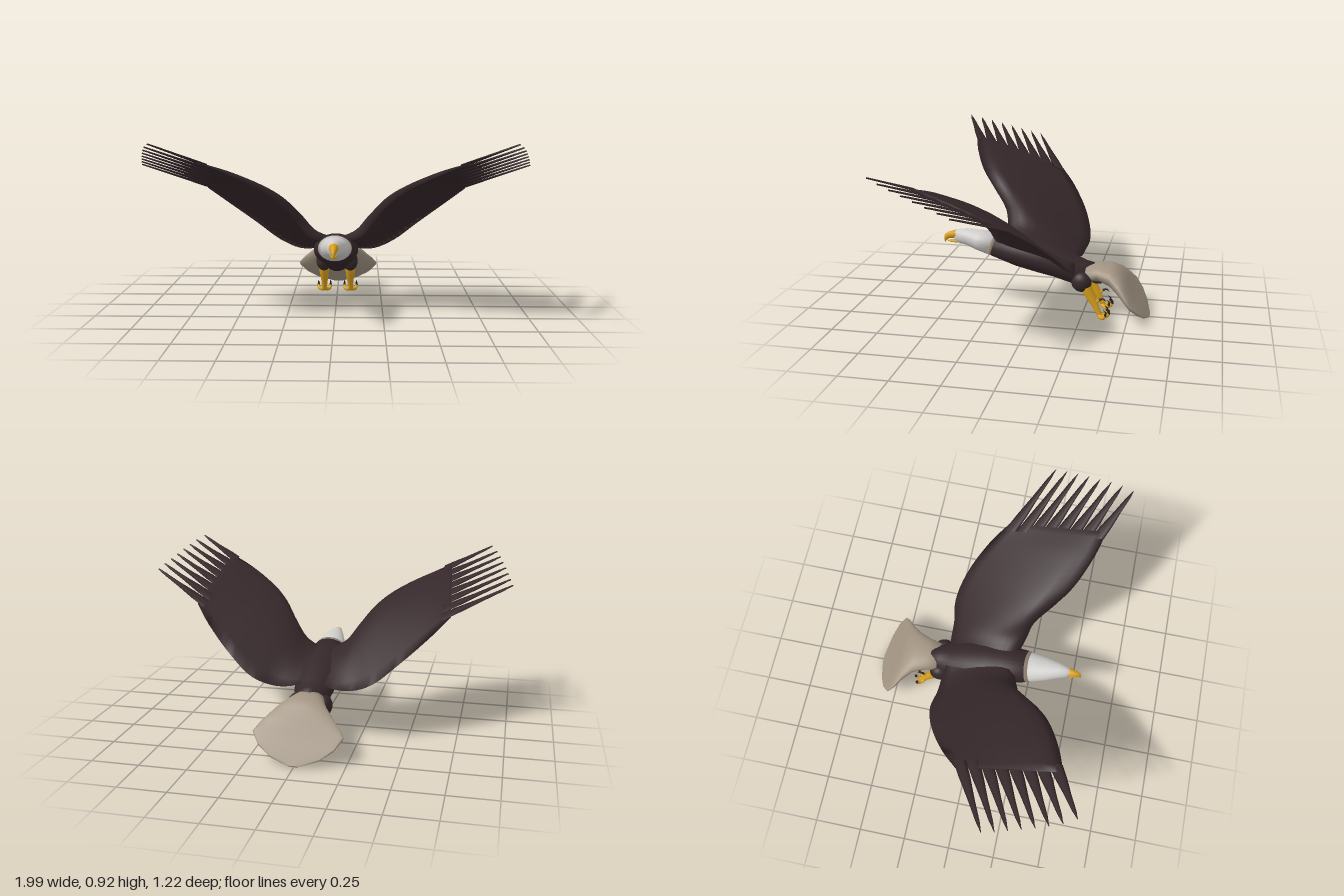
import * as THREE from 'three';

const mat = (name, color, side = THREE.FrontSide) => {
  const m = new THREE.MeshStandardMaterial({ color, side });
  m.name = name;
  return m;
};
const V = (x, y, z) => new THREE.Vector3(x, y, z);

// Closed skin over a list of equal-length rings, capped at both ends
function loft(rings, flip = false) {
  const n = rings[0].length, pos = [], idx = [];
  const tri = (a, b, c) => (flip ? idx.push(a, c, b) : idx.push(a, b, c));
  rings.forEach(r => r.forEach(p => pos.push(p.x, p.y, p.z)));
  for (let i = 0; i < rings.length - 1; i++)
    for (let j = 0; j < n; j++) {
      const k = (j + 1) % n, a = i * n, b = a + n;
      tri(a + j, a + k, b + j);
      tri(a + k, b + k, b + j);
    }
  [0, rings.length - 1].forEach((i, end) => {
    const c = rings[i].reduce((s, p) => s.add(p), V(0, 0, 0)).divideScalar(n);
    const ci = pos.length / 3;
    pos.push(c.x, c.y, c.z);
    for (let j = 0; j < n; j++) {
      const k = (j + 1) % n;
      end ? tri(ci, i * n + j, i * n + k) : tri(ci, i * n + k, i * n + j);
    }
  });
  const g = new THREE.BufferGeometry();
  g.setAttribute('position', new THREE.Float32BufferAttribute(pos, 3));
  g.setIndex(idx);
  g.computeVertexNormals();
  return g;
}

// Oval section: top z/y, bottom z/y, half width, height of the side edge
function oval([zt, yt, zb, yb, w, ye = (yt + yb) / 2], n = 28) {
  return Array.from({ length: n }, (_, j) => {
    const a = (j / n) * Math.PI * 2, c = Math.cos(a);
    const y = ye + (c > 0 ? (yt - ye) * c : (ye - yb) * c);
    return V(w * Math.sin(a), y, THREE.MathUtils.lerp(zb, zt, (1 + c) / 2));
  });
}
const ovals = list => loft(list.map(s => oval(s)));

// Wing-like section between a leading point L and a rear point R
const UP = V(-0.45, 0.85, 0.1);
function foil(L, R, camber, thick, side, n) {
  const ring = [];
  const add = (t, s) => {
    const h = 2.6 * Math.sqrt(t) * (1 - t);
    const p = L.clone().lerp(R, t).addScaledVector(UP, h * (camber + s * thick));
    p.x *= side;
    ring.push(p);
  };
  for (let i = 0; i <= n; i++) add(i / n, 1);
  for (let i = n - 1; i > 0; i--) add(i / n, -1);
  return ring;
}

// Tube whose radius runs from r0 to r1
function taperTube(points, r0, r1, seg = 14, rad = 8) {
  const curve = new THREE.CatmullRomCurve3(points);
  const g = new THREE.TubeGeometry(curve, seg, 1, rad);
  const p = g.attributes.position, v = V(0, 0, 0);
  for (let i = 0; i < p.count; i++) {
    const u = Math.floor(i / (rad + 1)) / seg, c = curve.getPointAt(u);
    v.fromBufferAttribute(p, i).sub(c).multiplyScalar(r0 + (r1 - r0) * u).add(c);
    p.setXYZ(i, v.x, v.y, v.z);
  }
  return g;
}

export function createModel() {
  const model = new THREE.Group();
  model.name = 'eagle';
  const brown = mat('dark brown plumage', 0x35272a);
  const white = mat('white head', 0xcfcdca);
  const tan = mat('pale tan feathers', 0xa39583);
  const yellow = mat('yellow skin', 0xd9a01c);
  const black = mat('dark claws', 0x2a2422);
  const add = (name, g, m, parent = model) => {
    const mesh = new THREE.Mesh(g, m);
    mesh.name = name;
    parent.add(mesh);
    return mesh;
  };

  // Head, neck border and body
  const neckA = [0.235, 0.428, 0.28, 0.303, 0.083], neckB = [0.215, 0.425, 0.26, 0.298, 0.088];
  add('head', ovals([
    [0.478, 0.42, 0.465, 0.362, 0.018], [0.44, 0.432, 0.45, 0.355, 0.032],
    [0.4, 0.437, 0.4, 0.345, 0.046], [0.33, 0.432, 0.34, 0.322, 0.066], neckA]), white);
  add('neckBorder', ovals([neckA, neckB]), tan);
  add('body', ovals([
    neckB, [0.1, 0.415, 0.12, 0.25, 0.11], [0, 0.4, 0, 0.222, 0.12],
    [-0.1, 0.37, -0.1, 0.2, 0.115], [-0.2, 0.32, -0.2, 0.168, 0.098],
    [-0.26, 0.298, -0.25, 0.14, 0.078], [-0.31, 0.288, -0.28, 0.17, 0.045]]), brown);

  // Open hooked beak
  add('upperBeak', ovals([
    [0.532, 0.375, 0.526, 0.352, 0.003], [0.528, 0.395, 0.516, 0.366, 0.009],
    [0.508, 0.412, 0.5, 0.378, 0.015], [0.465, 0.426, 0.455, 0.378, 0.024]]), yellow);
  add('lowerBeak', ovals([
    [0.512, 0.366, 0.51, 0.36, 0.004], [0.49, 0.369, 0.49, 0.355, 0.012],
    [0.45, 0.37, 0.45, 0.354, 0.02]]), yellow);

  // Fan tail, with the dark patch below its base
  add('tail', ovals([
    [-0.27, 0.284, -0.26, 0.18, 0.08], [-0.33, 0.288, -0.33, 0.2, 0.092],
    [-0.4, 0.284, -0.4, 0.172, 0.122, 0.235], [-0.45, 0.262, -0.45, 0.132, 0.165, 0.2],
    [-0.49, 0.205, -0.49, 0.1, 0.21, 0.165], [-0.52, 0.15, -0.52, 0.075, 0.232, 0.138],
    [-0.56, 0.093, -0.56, 0.044, 0.195, 0.09], [-0.59, 0.046, -0.59, 0.02, 0.13, 0.045],
    [-0.614, 0.012, -0.612, 0.004, 0.03]]), tan);
  const patch = add('underTailPatch', new THREE.SphereGeometry(1, 20, 12), brown);
  patch.position.set(0, 0.2, -0.33);
  patch.scale.set(0.055, 0.025, 0.045);

  // Leading and rear edges of a wing, root to wrist
  const lead = new THREE.CatmullRomCurve3([V(0.05, 0.38, 0.17), V(0.14, 0.42, 0.2), V(0.2, 0.5, 0.225),
    V(0.28, 0.605, 0.315), V(0.37, 0.68, 0.395), V(0.52, 0.765, 0.47), V(0.65, 0.825, 0.51)]);
  const rear = new THREE.CatmullRomCurve3([V(0.05, 0.3, -0.21), V(0.12, 0.28, -0.22), V(0.21, 0.28, -0.225),
    V(0.32, 0.325, -0.24), V(0.45, 0.43, -0.2), V(0.6, 0.56, -0.1), V(0.69, 0.645, -0.01)]);

  [1, -1].forEach(side => {
    const label = side > 0 ? 'left' : 'right', flip = side > 0;
    const wing = new THREE.Group();
    wing.name = label + 'Wing';
    model.add(wing);
    const rings = [];
    for (let i = 0; i <= 24; i++) {
      const u = i / 24;
      rings.push(foil(lead.getPoint(u), rear.getPoint(u),
        0.012 + 0.045 * Math.sin(Math.PI * u), 0.006 + 0.026 * (1 - u), side, 10));
    }
    add('wingBlade', loft(rings, flip), brown, wing);

    // Eight spread flight feathers
    const L = lead.getPoint(1), R = rear.getPoint(1), dir = R.clone().sub(L).normalize();
    for (let k = 0; k < 8; k++) {
      const f = k / 7;
      const base = L.clone().lerp(R, 0.05 + 0.89 * f).add(V(-0.04, -0.012, -0.018));
      const tip = V(0.865 + 0.13 * Math.pow(f, 0.75), 0.915 - 0.13 * f, 0.605 - 0.42 * f);
      const shape = [[0, 0.036], [0.25, 0.031], [0.55, 0.019], [0.85, 0.011], [1, 0.001]];
      add('flightFeather', loft(shape.map(([t, w]) => {
        const c = base.clone().lerp(tip, t);
        return foil(c.clone().addScaledVector(dir, -w), c.clone().addScaledVector(dir, w),
          0.002, 0.004, side, 4);
      }), flip), brown, wing);
    }

    // Leg with feathered thigh, shank, toes and claws
    const leg = new THREE.Group();
    leg.name = label + 'Leg';
    leg.position.x = side * 0.075;
    model.add(leg);
    const thigh = add('thigh', new THREE.SphereGeometry(1, 20, 14), brown, leg);
    thigh.position.set(0, 0.2, -0.25);
    thigh.scale.set(0.043, 0.055, 0.055);
    add('shank', taperTube([V(0, 0.175, -0.277), V(0, 0.13, -0.295), V(0, 0.07, -0.327), V(0.002 * side, 0.02, -0.35)],
      0.032, 0.013), yellow, leg);
    [-0.034, 0, 0.036].forEach((dx, k) => {
      const x = side * dx, dz = k === 1 ? -0.008 : 0.006;
      add('toe', taperTube([V(0, 0.022, -0.345), V(x * 0.5, 0.011, -0.36), V(x * 0.9, 0.015, -0.382 + dz),
        V(x, 0.03, -0.392 + dz)], 0.012, 0.008), yellow, leg);
      add('claw', taperTube([V(x, 0.028, -0.391 + dz), V(x, 0.047, -0.393 + dz), V(x, 0.06, -0.38 + dz)],
        0.008, 0.001), black, leg);
    });
    add('hindToe', taperTube([V(0, 0.03, -0.343), V(0, 0.06, -0.332), V(0, 0.088, -0.333), V(0, 0.104, -0.347)],
      0.011, 0.008), yellow, leg);
    add('hindClaw', taperTube([V(0, 0.103, -0.346), V(0, 0.112, -0.365), V(0, 0.098, -0.385)],
      0.008, 0.001), black, leg);
  });
  return model;
}
